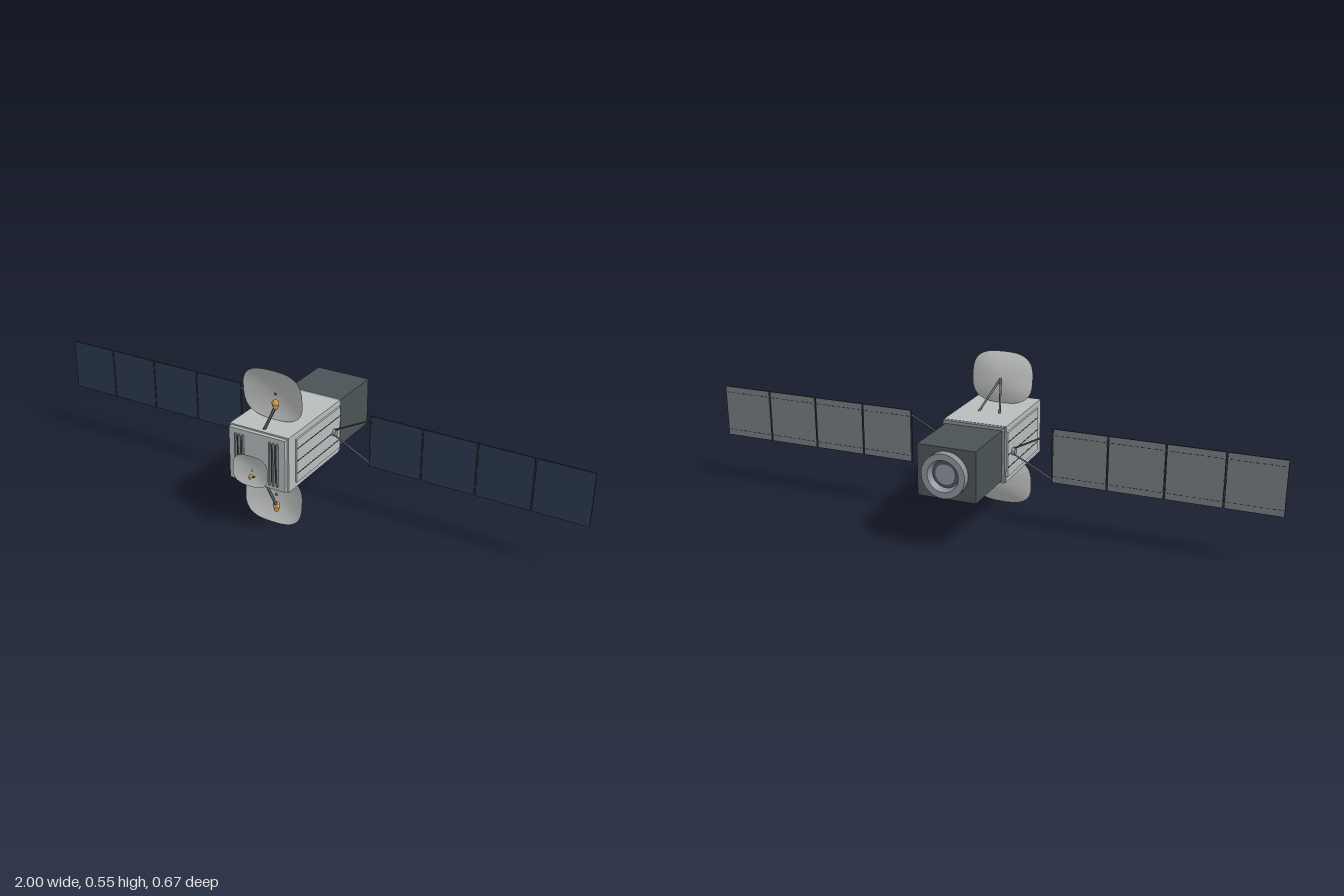
import * as THREE from 'three';

const MID = 0.276; // height of the satellite's long axis

const mat = (name, color, side = THREE.FrontSide) => {
  const m = new THREE.MeshStandardMaterial({ color, side });
  m.name = name;
  return m;
};

export function createModel() {
  const M = {
    hull: mat('hullGrey', 0xb8bdbd),
    dish: mat('dishGrey', 0xc0c3c2, THREE.DoubleSide),
    module: mat('moduleCharcoal', 0x4b5356),
    metal: mat('steelGrey', 0x8a9199),
    strut: mat('strutGrey', 0x54585c),
    dark: mat('darkTrim', 0x2c2f33),
    cell: mat('cellBlue', 0x2c3a50),
    back: mat('panelBackGrey', 0x73797d),
    gold: mat('hornGold', 0xc4934a),
  };
  const model = new THREE.Group();
  model.name = 'satellite';

  const add = (parent, name, geo, material) => {
    const mesh = new THREE.Mesh(geo, material);
    mesh.name = name;
    parent.add(mesh);
    return mesh;
  };
  // Box given by its minimum and maximum corners
  const box = (parent, name, a, b, material) => {
    const mesh = add(parent, name, new THREE.BoxGeometry(b[0] - a[0], b[1] - a[1], b[2] - a[2]), material);
    mesh.position.set((a[0] + b[0]) / 2, (a[1] + b[1]) / 2, (a[2] + b[2]) / 2);
    return mesh;
  };
  // Round bar or cone from point a (radius ra) to point b (radius rb)
  const bar = (parent, name, a, b, ra, rb, material, sides = 10) => {
    const p = new THREE.Vector3(...a), q = new THREE.Vector3(...b);
    const dir = q.clone().sub(p);
    const mesh = add(parent, name, new THREE.CylinderGeometry(rb, ra, dir.length(), sides), material);
    mesh.position.copy(p).add(q).multiplyScalar(0.5);
    mesh.quaternion.setFromUnitVectors(new THREE.Vector3(0, 1, 0), dir.normalize());
    return mesh;
  };
  // Shallow bowl with a rounded-square flat rim, opening toward +z
  const dishGeometry = (w, h, depth) => {
    const rings = 10, segs = 48, pos = [], index = [];
    for (let r = 0; r <= rings; r++) {
      for (let s = 0; s < segs; s++) {
        const a = (s / segs) * Math.PI * 2, t = r / rings;
        const c = Math.cos(a), n = Math.sin(a);
        const e = 2 / 2.9;
        pos.push(w * t * Math.sign(c) * Math.abs(c) ** e, h * t * Math.sign(n) * Math.abs(n) ** e, -depth * (1 - t * t));
        if (r === rings) continue;
        const i = r * segs + s, j = r * segs + ((s + 1) % segs);
        if (r > 0) index.push(i, j + segs, j);
        index.push(i, i + segs, j + segs);
      }
    }
    const g = new THREE.BufferGeometry();
    g.setAttribute('position', new THREE.Float32BufferAttribute(pos, 3));
    g.setIndex(index);
    g.computeVertexNormals();
    return g;
  };

  // Main body with stepped front and rear collar
  const body = new THREE.Group();
  body.name = 'body';
  model.add(body);
  box(body, 'hull', [-0.11, 0.18, -0.082], [0.11, 0.373, 0.242], M.hull);
  box(body, 'frontStep', [-0.104, 0.185, 0.24], [0.104, 0.368, 0.256], M.hull);
  box(body, 'rearCollar', [-0.109, 0.181, -0.095], [0.109, 0.372, -0.08], M.metal);
  box(body, 'rearModule', [-0.1, 0.19, -0.309], [0.1, 0.362, -0.093], M.module);

  // Side plates with dark grooves
  for (const s of [-1, 1]) {
    const plate = box(body, 'sidePlate', [-0.003, 0.2, -0.08], [0.003, 0.353, 0.202], M.hull);
    plate.position.x = s * 0.113;
    for (const y of [0.232, 0.276, 0.32]) {
      const groove = box(body, 'sideGroove', [-0.0006, y - 0.0015, -0.08], [0.0006, y + 0.0015, 0.198], M.dark);
      groove.position.x = s * 0.1162;
    }
    // Upright ribs on the front face, with dark slots between them
    for (const x of [0.05, 0.064, 0.078]) {
      const rib = box(body, 'frontRib', [-0.0025, 0.2, 0.255], [0.0025, 0.352, 0.264], M.metal);
      rib.position.x = s * x;
    }
    for (const x of [0.057, 0.071]) {
      const slot = box(body, 'frontSlot', [-0.0035, 0.21, 0.255], [0.0035, 0.345, 0.257], M.dark);
      slot.position.x = s * x;
    }
  }

  // Engine ring at the back: hollow lathe with a recessed disc
  const ringProfile = [[0.045, 0], [0.074, 0], [0.074, 0], [0.074, 0.028], [0.074, 0.028], [0.053, 0.028], [0.053, 0.028], [0.045, 0.004]];
  const ring = add(model, 'engineRing', new THREE.LatheGeometry(ringProfile.map(p => new THREE.Vector2(...p)), 40), M.metal);
  ring.rotation.x = -Math.PI / 2;
  ring.position.set(0, MID, -0.309);
  bar(model, 'engineRecess', [0, MID, -0.308], [0, MID, -0.314], 0.05, 0.05, M.module, 32);
  bar(model, 'engineCore', [0, MID, -0.31], [0, MID, -0.317], 0.034, 0.034, M.metal, 32);

  // Solar wings: four panels each, held by a V-shaped yoke
  const y0 = 0.186, y1 = 0.371, zc = -0.037;
  for (const s of [-1, 1]) {
    const wing = new THREE.Group();
    wing.name = s > 0 ? 'leftWing' : 'rightWing';
    model.add(wing);
    bar(wing, 'hub', [s * 0.108, MID, zc], [s * 0.126, MID, zc], 0.014, 0.012, M.metal, 20);
    for (const v of [-1, 1]) {
      bar(wing, 'yokeStrut', [s * 0.12, MID + v * 0.01, zc], [s * 0.255, MID + v * 0.08, zc], 0.003, 0.003, M.strut, 8);
    }
    box(wing, 'rootBar', [s * 0.254 - 0.003, y0, zc - 0.003], [s * 0.254 + 0.003, y1, zc + 0.003], M.dark);
    for (let i = 0; i < 4; i++) {
      const c = s * (0.252 + 0.187 * (i + 0.5)), w = 0.0915;
      box(wing, 'panelCore', [c - w, y0, zc - 0.0018], [c + w, y1, zc + 0.0018], M.dark);
      box(wing, 'cellFace', [c - w + 0.0015, y0 + 0.0015, zc + 0.001], [c + w - 0.0015, y1 - 0.0015, zc + 0.0026], M.cell);
      box(wing, 'panelBack', [c - w + 0.0015, y0 + 0.0015, zc - 0.0026], [c + w - 0.0015, y1 - 0.0015, zc - 0.001], M.back);
      // Dashed seams along the back
      for (const y of [y0 + 0.022, y1 - 0.022]) {
        for (let k = 0; k < 9; k++) {
          const x = c + (k - 4) * 0.0195;
          box(wing, 'backSeam', [x - 0.006, y - 0.001, zc - 0.0031], [x + 0.006, y + 0.001, zc - 0.002], M.dark);
        }
      }
      if (i < 3) {
        const h = s * (0.252 + 0.187 * (i + 1));
        for (const y of [y0 + 0.03, MID, y1 - 0.03]) {
          box(wing, 'hinge', [h - 0.005, y - 0.005, zc - 0.003], [h + 0.005, y + 0.005, zc], M.dark);
        }
      }
    }
  }

  // Large dishes above and below, mirrored about the long axis
  for (const v of [-1, 1]) {
    const antenna = new THREE.Group();
    antenna.name = v > 0 ? 'upperAntenna' : 'lowerAntenna';
    model.add(antenna);
    const at = (x, y, z) => [x, MID + v * (y - MID), z];
    const dish = add(antenna, 'dish', dishGeometry(0.11, 0.0895, 0.0175), M.dish);
    dish.position.set(...at(0, 0.463, 0.159));
    dish.rotation.x = v * 0.1;
    for (const s of [-1, 1]) {
      bar(antenna, 'dishStrut', at(s * 0.038, 0.37, 0.039), at(0, 0.462, 0.143), 0.0035, 0.0035, M.strut);
    }
    bar(antenna, 'feedArm', at(0.008, 0.37, 0.223), at(0.044, 0.456, 0.21), 0.005, 0.005, M.strut);
    bar(antenna, 'feedHorn', at(0.034, 0.459, 0.196), at(0.053, 0.46, 0.225), 0.012, 0.008, M.gold, 20);
  }

  // Small dish on the front face
  const front = new THREE.Group();
  front.name = 'frontAntenna';
  model.add(front);
  const small = add(front, 'smallDish', dishGeometry(0.066, 0.053, 0.0105), M.dish);
  small.position.set(0, 0.253, 0.296);
  small.rotation.x = -0.056;
  bar(front, 'smallDishMount', [0, 0.245, 0.254], [0, 0.251, 0.287], 0.003, 0.003, M.strut);
  bar(front, 'smallFeedArm', [0, 0.215, 0.254], [0.021, 0.251, 0.326], 0.0032, 0.0032, M.strut);
  bar(front, 'smallFeedHorn', [0.017, 0.252, 0.318], [0.025, 0.254, 0.336], 0.0065, 0.0045, M.gold, 16);

  return model;
}
